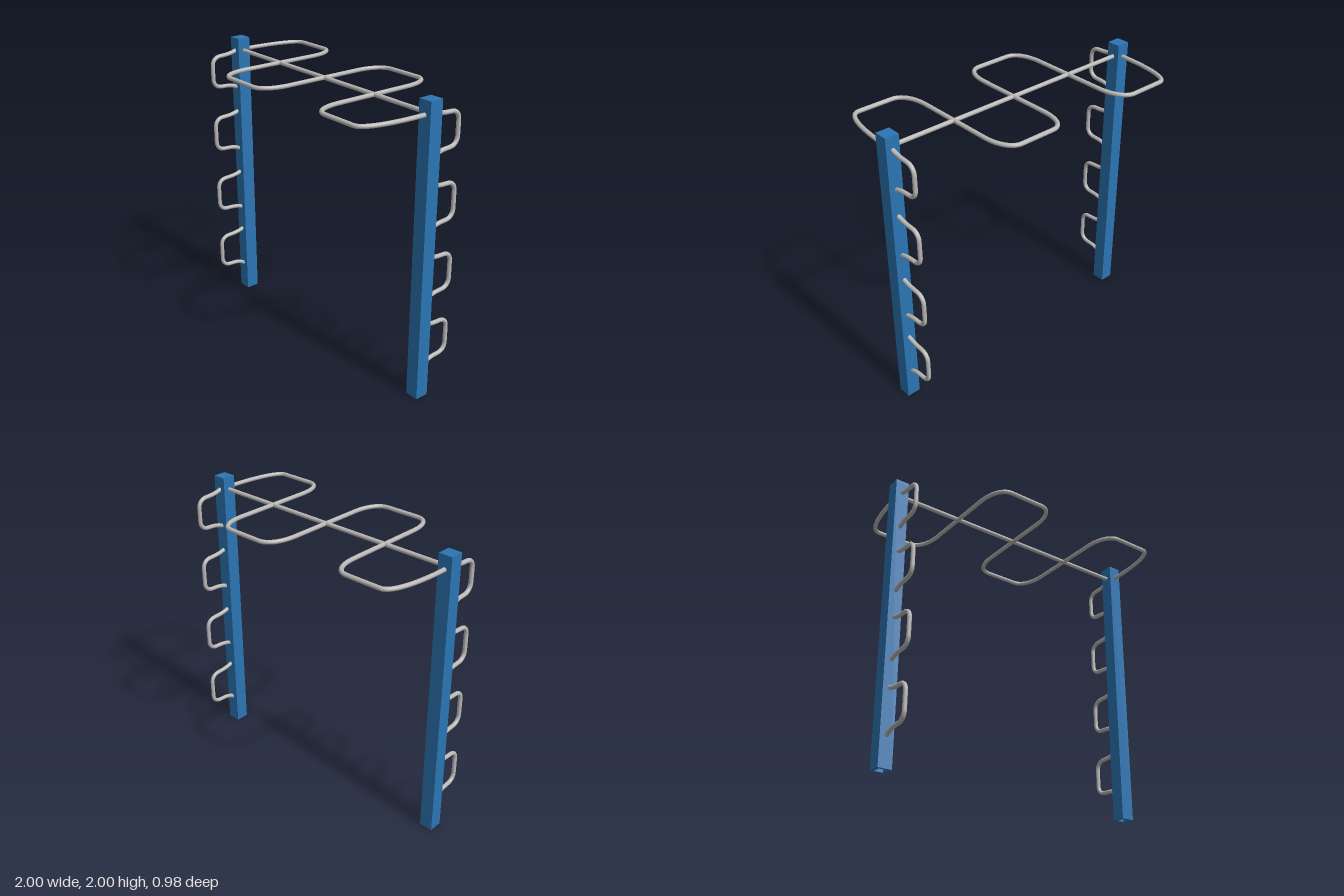
import * as THREE from 'three';

const blue = new THREE.MeshStandardMaterial({ color: 0x2b75b3 });
blue.name = 'blue paint';
const steel = new THREE.MeshStandardMaterial({ color: 0xb9b8b6 });
steel.name = 'grey steel';

const POST_X = 0.953, POST_W = 0.094, BAR_Y = 1.91;

function mesh(name, geometry, material) {
  const m = new THREE.Mesh(geometry, material);
  m.name = name;
  return m;
}

// Path of straight runs with rounded corners; each corner is [point, cut before, cut after]
function roundedPath(start, corners, end) {
  const path = new THREE.CurvePath();
  let from = start;
  corners.forEach(([p, before, after], i) => {
    const prev = i ? corners[i - 1][0] : start;
    const next = i < corners.length - 1 ? corners[i + 1][0] : end;
    const a = p.clone().add(prev.clone().sub(p).setLength(before));
    const b = p.clone().add(next.clone().sub(p).setLength(after));
    if (from.distanceTo(a) > 1e-4) path.add(new THREE.LineCurve3(from, a));
    // handles pulled about halfway to the corner give a round bend
    path.add(new THREE.CubicBezierCurve3(a, a.clone().lerp(p, 0.6), b.clone().lerp(p, 0.6), b));
    from = b;
  });
  path.add(new THREE.LineCurve3(from, end));
  return path;
}

// Square hollow post with a closed top
function makePost() {
  const post = new THREE.Group();
  post.name = 'post';
  const h = POST_W / 2, i = 0.03;
  const outline = new THREE.Shape([[-h, -h], [h, -h], [h, h], [-h, h]].map(p => new THREE.Vector2(...p)));
  outline.holes.push(new THREE.Path([[-i, -i], [-i, i], [i, i], [i, -i]].map(p => new THREE.Vector2(...p))));
  const tube = new THREE.ExtrudeGeometry(outline, { depth: 1.98, bevelEnabled: false });
  tube.rotateX(-Math.PI / 2);
  const cap = new THREE.BoxGeometry(POST_W, 0.02, POST_W);
  cap.translate(0, 1.99, 0);
  post.add(mesh('postTube', tube, blue), mesh('postCap', cap, blue));
  return post;
}

// D-shaped climbing rung reaching out along +z
function makeRung([topEnd, topBar, lowBar, lowEnd]) {
  const v = (y, z) => new THREE.Vector3(0, y, z);
  const path = roundedPath(v(topEnd + 0.012, 0.025), [
    [v(topBar + 0.008, 0.085), 0.045, 0.05],
    [v(topBar, 0.239), 0.06, 0.06],
    [v(lowBar, 0.239), 0.06, 0.06],
    [v(lowBar - 0.008, 0.085), 0.05, 0.045],
  ], v(lowEnd - 0.012, 0.025));
  return mesh('rung', new THREE.TubeGeometry(path, 64, 0.0145, 12), steel);
}

export function createModel() {
  const model = new THREE.Group();
  model.name = 'climbingFrame';

  // Posts with ladders, the second turned half round
  const rungs = [
    [1.905, 1.885, 1.67, 1.645],
    [1.453, 1.434, 1.198, 1.172],
    [0.975, 0.957, 0.718, 0.695],
    [0.502, 0.482, 0.242, 0.205],
  ];
  for (const side of [-1, 1]) {
    const ladder = new THREE.Group();
    ladder.name = side < 0 ? 'rightLadder' : 'leftLadder';
    ladder.add(makePost(), ...rungs.map(makeRung));
    ladder.position.x = side * POST_X;
    ladder.rotation.y = side < 0 ? 0 : Math.PI;
    model.add(ladder);
  }

  // Straight overhead bar
  const bar = new THREE.CylinderGeometry(0.0145, 0.0145, 1.9, 16);
  bar.rotateZ(Math.PI / 2);
  bar.translate(0, BAR_Y, 0);
  model.add(mesh('overheadBar', bar, steel));

  // Serpentine overhead rail: four loops on alternating sides
  const v = (x, z) => new THREE.Vector3(x, BAR_Y, z);
  const corners = [];
  for (let i = 0; i < 4; i++) {
    const z = i % 2 ? 0.477 : -0.477;
    const x0 = i ? -0.953 + i * 0.4765 : -POST_X;
    const x1 = x0 + 0.4765;
    corners.push([v(x0, z), i === 0 ? 0.46 : 0.2, 0.115]);
    corners.push([v(x1, z), 0.115, i === 3 ? 0.46 : 0.2]);
  }
  const rail = roundedPath(v(-POST_X, 0), corners, v(POST_X, 0));
  model.add(mesh('serpentineRail', new THREE.TubeGeometry(rail, 260, 0.0145, 12), steel));

  return model;
}
